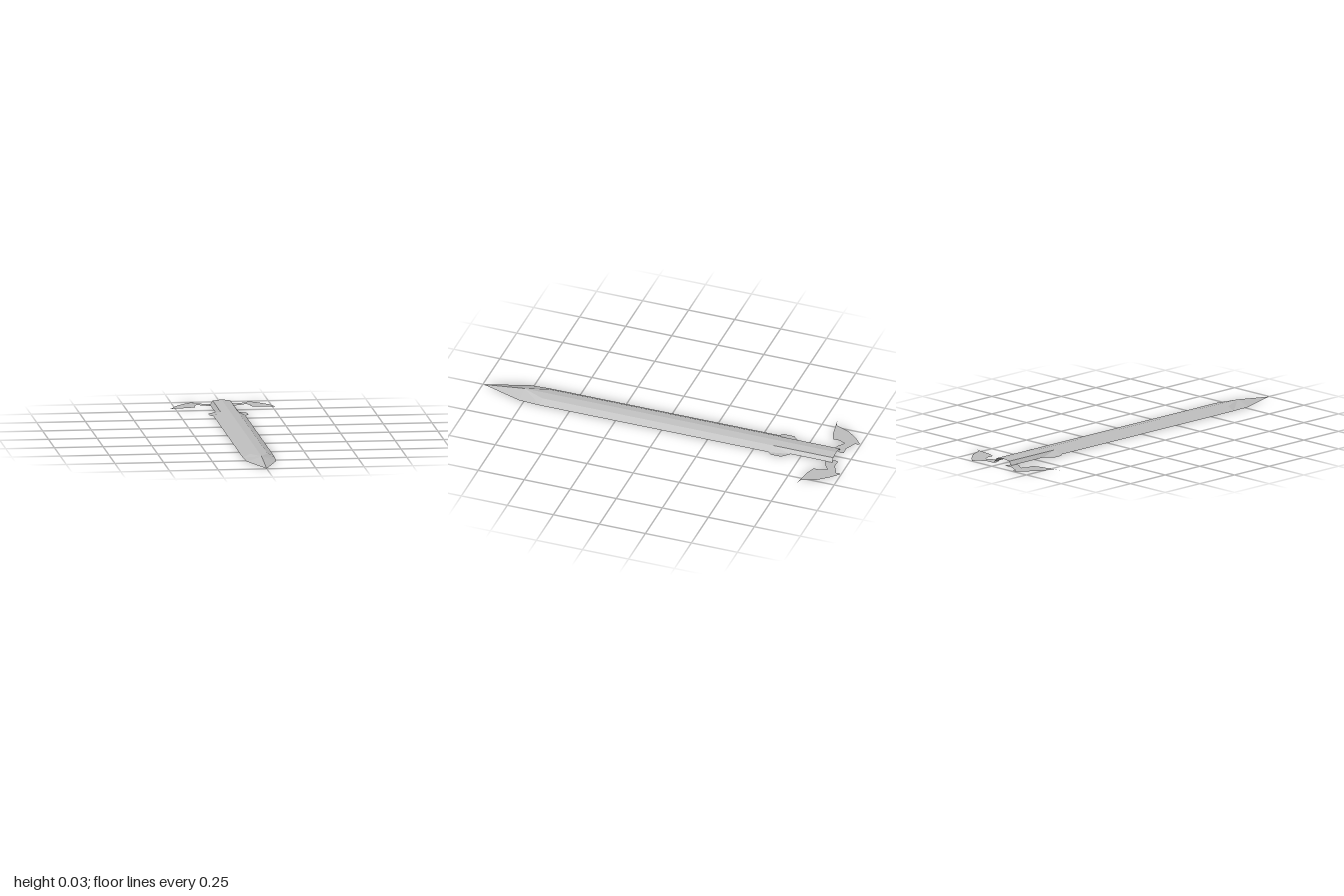
import * as THREE from 'three';

const steel = new THREE.MeshStandardMaterial({ color: 0xbfbfbf, side: THREE.DoubleSide });
steel.name = 'steel grey';

// Open arched shell lofted through five-point sections along z
function bladeGeometry() {
  // z, edge half width, shoulder half width, shoulder height, ridge height
  const stations = [
    [-0.92, 0.06, 0.045, 0.02, 0.026],
    [-0.69, 0.06, 0.045, 0.02, 0.026],
    [-0.59, 0.082, 0.045, 0.02, 0.026],
    [0.66, 0.082, 0.045, 0.02, 0.026],
    [0.775, 0.075, 0, 0.026, 0.026],
    [0.995, 0, 0, 0, 0],
  ];
  const rows = stations.map(([z, edge, shoulder, h, ridge]) => [
    [-edge, 0, z], [-shoulder, h, z], [0, ridge, z], [shoulder, h, z], [edge, 0, z],
  ]);
  const pos = [];
  const tri = (...corners) => {
    const [a, b, c] = corners.map((p) => new THREE.Vector3(...p));
    if (new THREE.Triangle(a, b, c).getArea() > 1e-8) pos.push(...corners.flat());
  };
  for (let i = 0; i < rows.length - 1; i++) {
    for (let j = 0; j < 4; j++) {
      const a = rows[i][j], b = rows[i][j + 1], c = rows[i + 1][j + 1], d = rows[i + 1][j];
      // mirrored diagonals keep both halves alike
      if (j < 2) { tri(a, d, c); tri(a, c, b); }
      else { tri(a, d, b); tri(b, d, c); }
    }
  }
  const geo = new THREE.BufferGeometry();
  geo.setAttribute('position', new THREE.Float32BufferAttribute(pos, 3));
  geo.computeVertexNormals();
  return geo;
}

// Flat plate lying on y = 0 from an (x, z) outline, facing up
function plate(name, outline, side) {
  const shape = new THREE.Shape(outline.map(([x, z]) => new THREE.Vector2(side * x, -z)));
  const mesh = new THREE.Mesh(new THREE.ShapeGeometry(shape).rotateX(-Math.PI / 2), steel);
  mesh.name = name;
  return mesh;
}

export function createModel() {
  const group = new THREE.Group();
  group.name = 'sword';

  const blade = new THREE.Mesh(bladeGeometry(), steel);
  blade.name = 'bladeAndGrip';
  group.add(blade);

  // Curved wing at the grip end
  const wing = [
    [0.305, -0.813], [0.268, -0.824], [0.25, -0.87], [0.24, -0.895], [0.217, -0.925], [0.187, -0.96],
    [0.148, -0.995], [0.137, -0.985], [0.143, -0.972], [0.112, -0.957], [0.085, -0.943],
    [0.042, -0.945], [0.038, -0.93], [0.045, -0.91], [0.063, -0.88], [0.095, -0.895],
    [0.127, -0.918], [0.143, -0.885], [0.143, -0.848], [0.19, -0.832], [0.24, -0.824],
  ];
  // Small guard between grip and blade
  const guard = [
    [0.05, -0.7], [0.06, -0.695], [0.1, -0.655], [0.1, -0.6], [0.085, -0.582], [0.05, -0.58],
  ];
  for (const [label, side] of [['left', 1], ['right', -1]]) {
    group.add(plate(label + 'Wing', wing, side), plate(label + 'Guard', guard, side));
  }
  return group;
}
